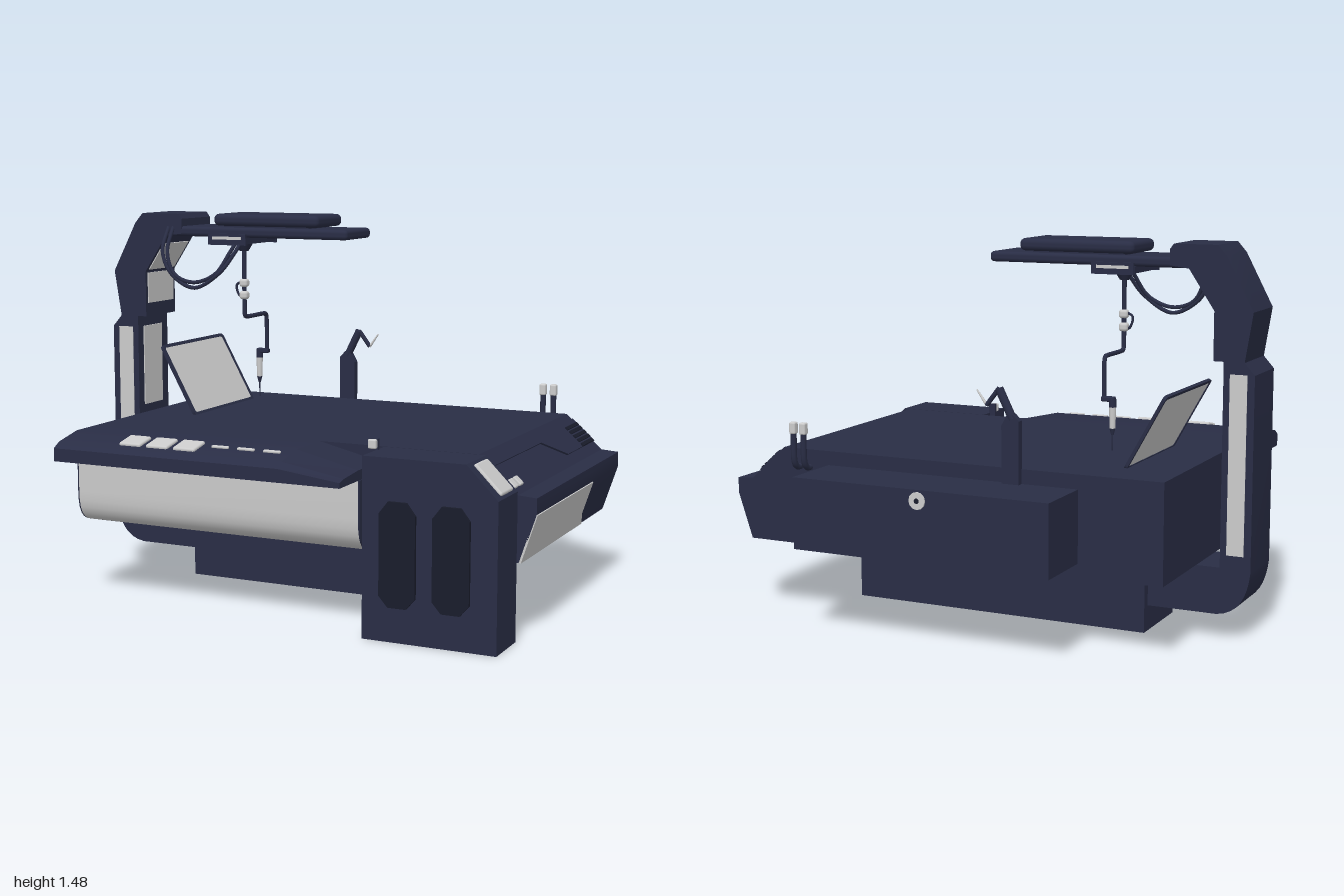
import * as THREE from 'three';
import { toCreasedNormals } from 'three/addons/utils/BufferGeometryUtils.js';
import { RoundedBoxGeometry } from 'three/addons/geometries/RoundedBoxGeometry.js';

const navy = new THREE.MeshStandardMaterial({ color: 0x292d45 });
const dark = new THREE.MeshStandardMaterial({ color: 0x191c2b });
const light = new THREE.MeshStandardMaterial({ color: 0xcccccc });
const V = (x, y, z) => new THREE.Vector3(x, y, z);

export function createModel() {
  const root = new THREE.Group();
  const add = (name, geo, mat = navy, parent = root) => {
    const m = new THREE.Mesh(geo, mat);
    m.name = name;
    parent.add(m);
    return m;
  };
  // Box given by its extents
  const box = (name, x0, x1, y0, y1, z0, z1, mat, r = 0) => {
    const s = [x1 - x0, y1 - y0, z1 - z0];
    const g = r ? new RoundedBoxGeometry(...s, 2, r) : new THREE.BoxGeometry(...s);
    const m = add(name, g, mat);
    m.position.set((x0 + x1) / 2, (y0 + y1) / 2, (z0 + z1) / 2);
    return m;
  };
  const toShape = pts => new THREE.Shape(pts.map(p => new THREE.Vector2(...p)));
  const extrude = (shape, depth) =>
    new THREE.ExtrudeGeometry(shape, { depth, bevelEnabled: false, curveSegments: 8 });
  // Front outline (x, y) carried from z0 to z1
  const alongZ = (name, shape, z0, z1, mat) =>
    add(name, toCreasedNormals(extrude(shape, z1 - z0).translate(0, 0, z0), 0.5), mat);
  // Side outline (-z, y) carried from x0 to x1
  const alongX = (shape, x0, x1) =>
    toCreasedNormals(extrude(shape, x1 - x0).rotateY(Math.PI / 2).translate(x0, 0, 0), 0.5);
  const tube = (name, pts, r, mat, tension = 0.5) =>
    add(name, new THREE.TubeGeometry(new THREE.CatmullRomCurve3(pts, false, 'catmullrom', tension), 48, r, 8), mat);
  // Straight round bar between two points
  const bar = (name, a, b, r, mat, r2 = r) => {
    const m = add(name, new THREE.CylinderGeometry(r2, r, a.distanceTo(b), 12), mat);
    m.position.copy(a).lerp(b, 0.5);
    m.quaternion.setFromUnitVectors(V(0, 1, 0), b.clone().sub(a).normalize());
    return m;
  };

  // Table body with sloping right end
  alongZ('tableBody', toShape([[-0.8, 0.29], [0.94, 0.29], [1, 0.47], [1, 0.53], [0.93, 0.535],
    [0.78, 0.67], [-0.8, 0.67]]), -0.545, 0.46);
  const tilt = Math.atan2(0.06, 0.18);
  const sidePanel = add('sidePanel', alongX(toShape([[-0.46, -0.095], [0.25, -0.095], [0.2, -0.04],
    [0.2, 0.095], [-0.46, 0.095]]), -0.004, 0.004), light);
  sidePanel.position.set(0.97, 0.38, 0);
  sidePanel.rotation.z = -tilt;
  // Raised strip and vent on the right slope
  const slope = new THREE.Group();
  slope.name = 'rightSlope';
  slope.position.set(0.855, 0.6025, 0);
  slope.rotation.z = -Math.atan2(0.135, 0.15);
  root.add(slope);
  const strip = toShape([[-0.07, -0.54], [0.055, -0.54], [0.055, -0.2], [-0.035, -0.07], [-0.035, 0.46], [-0.07, 0.46]]);
  add('slopeStrip', extrude(strip, 0.008).rotateX(Math.PI / 2).translate(0, 0.007, 0), navy, slope);
  for (let i = 0; i < 5; i++)
    add('ventSlat', new THREE.BoxGeometry(0.014, 0.008, 0.14), dark, slope).position.set(-0.04 + i * 0.022, 0.009, -0.455);
  for (const z of [0.38, 0.435])
    add('slopeButton', new RoundedBoxGeometry(0.04, 0.014, 0.035, 2, 0.005), light, slope).position.set(0.055, 0.006, z);

  // Front control deck, tapering down at its right end
  const deck = toShape([[-0.46, 0.575], [-0.46, 0.67], [-0.65, 0.67], [-0.77, 0.645], [-0.805, 0.625], [-0.805, 0.575]]);
  add('controlDeck', alongX(deck, -0.8, 0.15));
  const taper = alongX(deck, 0.15, 0.395);
  const p = taper.attributes.position;
  for (let i = 0; i < p.count; i++)
    if (p.getX(i) > 0.3) p.setY(i, 0.575 + (p.getY(i) - 0.575) * 0.4);
  taper.computeVertexNormals();
  add('deckTaper', taper);
  const deckTilt = Math.atan2(0.025, 0.12);
  for (let i = 0; i < 3; i++) {
    const b = box('deckButton', -0.543 + i * 0.116, -0.45 + i * 0.116, 0.65, 0.668, 0.667, 0.755, light, 0.008);
    b.rotation.x = deckTilt;
    const s = box('deckSlider', -0.175 + i * 0.107, -0.105 + i * 0.107, 0.658, 0.668, 0.69, 0.704, light, 0.004);
    s.rotation.x = deckTilt;
  }
  // Rounded front panel under the deck
  const skirt = new THREE.Shape();
  skirt.moveTo(-0.46, 0.575);
  skirt.lineTo(-0.65, 0.575);
  skirt.lineTo(-0.65, 0.43);
  skirt.bezierCurveTo(-0.65, 0.33, -0.61, 0.3, -0.5, 0.3);
  skirt.lineTo(-0.46, 0.3);
  add('frontPanel', alongX(skirt, -0.795, 0.395), light);
  for (const x of [-0.8, 0.395]) add('frontPanelEnd', alongX(skirt, x, x + 0.005));
  box('frontPanelFoot', -0.8, 0.4, 0.29, 0.302, 0.45, 0.51);

  // Pedestal and front leg
  box('pedestal', -0.595, 0.65, 0, 0.3, -0.195, 0.115);
  alongZ('frontLeg', toShape([[0.415, 0], [0.93, 0], [0.93, 0.55], [0.81, 0.67], [0.415, 0.67]]), 0.465, 0.66);
  for (const x of [0.555, 0.76]) {
    const w = 0.07, c = 0.035;
    alongZ('legPanel', toShape([[x - w + c, 0.13], [x + w - c, 0.13], [x + w, 0.17], [x + w, 0.47],
      [x + w - c, 0.515], [x - w + c, 0.515], [x - w, 0.47], [x - w, 0.17]]), 0.65, 0.672, dark);
  }
  const pad = add('legTouchpad', new RoundedBoxGeometry(0.145, 0.02, 0.12, 2, 0.009), light);
  pad.position.set(0.87, 0.61, 0.553);
  pad.rotation.z = -Math.PI / 4;
  // Small hook beside the leg
  box('hookPost', 0.39, 0.42, 0.58, 0.71, 0.52, 0.535);
  box('hookTip', 0.387, 0.42, 0.675, 0.71, 0.535, 0.555, light, 0.006);

  // Rear storage box with lock
  box('rearBox', -0.47, 0.58, 0.34, 0.615, -0.8, -0.54);
  bar('lock', V(0.05, 0.575, -0.795), V(0.05, 0.575, -0.806), 0.033, light);
  bar('lockSlot', V(0.05, 0.575, -0.8), V(0.05, 0.575, -0.808), 0.01, dark);

  // Side column with rounded foot and angled head
  const col = new THREE.Shape();
  col.moveTo(-0.595, 0.1);
  col.lineTo(-0.87, 0.1);
  col.bezierCurveTo(-0.96, 0.11, -0.99, 0.18, -1, 0.27);
  col.lineTo(-1, 1.01);
  col.lineTo(-0.96, 1.055);
  col.lineTo(-0.88, 1.055);
  col.lineTo(-0.88, 0.28);
  col.lineTo(-0.595, 0.28);
  alongZ('column', col, -0.16, 0.07);
  alongZ('columnHead', toShape([[-0.96, 1.055], [-0.99, 1.24], [-0.885, 1.44], [-0.85, 1.48], [-0.68, 1.48],
    [-0.665, 1.46], [-0.665, 1.4], [-0.74, 1.39], [-0.84, 1.24], [-0.84, 1.055]]), -0.16, 0.07);
  for (const z of [-0.162, 0.068]) box('columnSidePanel', -0.972, -0.905, 0.33, 1.01, z, z + 0.004, light);
  box('columnInnerPanel', -0.882, -0.876, 0.68, 1.01, -0.11, 0.03, light);
  box('headInnerPanel', -0.842, -0.836, 1.11, 1.235, -0.143, 0.055, light);
  const upper = add('headUpperPanel', new THREE.BoxGeometry(0.006, 0.13, 0.198), light);
  upper.position.set(-0.797, 1.303, -0.044);
  upper.rotation.z = -Math.atan2(0.1, 0.15);

  // Overhead lamp arm
  box('lampArm', -0.73, 0.075, 1.39, 1.43, -0.16, 0.07, navy, 0.015);
  box('lampCover', -0.52, -0.05, 1.435, 1.483, -0.16, 0.07, navy, 0.02);
  box('lampSpacer', -0.48, -0.1, 1.42, 1.445, -0.14, 0.05);
  box('toolMount', -0.53, -0.36, 1.365, 1.392, -0.165, 0.08);
  for (const z of [-0.175, 0.085]) {
    box('mountTab', -0.53, -0.36, 1.36, 1.405, z - 0.006, z + 0.006);
    box('mountTabLight', -0.51, -0.38, 1.382, 1.394, z - 0.008, z + 0.008, light);
  }
  bar('mountCone', V(-0.44, 1.33, -0.045), V(-0.44, 1.367, -0.045), 0.018, navy, 0.04);

  // Looping hoses
  for (const d of [0, 0.022])
    tube('hose', [V(-0.73 + d, 1.425, 0.065), V(-0.72 + d, 1.33, 0.13), V(-0.665 + d * 0.6, 1.24, 0.15),
      V(-0.56, 1.19 + d, 0.152), V(-0.45 - d * 0.6, 1.25, 0.15), V(-0.4 - d, 1.33, 0.11), V(-0.39 - d, 1.375, 0.07)], 0.008);

  // Hanging jointed tool
  bar('toolRod', V(-0.44, 1.36, -0.045), V(-0.44, 1.07, -0.045), 0.009);
  for (const y of [1.2, 1.15]) {
    box('toolJoint', -0.458, -0.422, y - 0.017, y + 0.017, -0.063, -0.027, light, 0.012);
  }
  tube('jointLoop', [V(-0.44, 1.21, -0.045), V(-0.475, 1.19, -0.045), V(-0.465, 1.15, -0.045), V(-0.44, 1.14, -0.045)], 0.005);
  tube('toolElbow', [V(-0.44, 1.1, -0.045), V(-0.44, 1.07, -0.047), V(-0.44, 1.06, -0.065), V(-0.44, 1.06, -0.21),
    V(-0.44, 1.055, -0.23), V(-0.44, 1.03, -0.237), V(-0.44, 0.9, -0.237)], 0.009, navy, 0.3);
  box('toolWrist', -0.485, -0.43, 0.89, 0.91, -0.249, -0.225, navy, 0.006);
  bar('toolGrip', V(-0.475, 0.9, -0.237), V(-0.475, 0.87, -0.237), 0.014);
  bar('toolBody', V(-0.475, 0.79, -0.237), V(-0.475, 0.88, -0.237), 0.011, light, 0.014);
  bar('toolNose', V(-0.475, 0.765, -0.237), V(-0.475, 0.79, -0.237), 0.005, navy, 0.011);
  bar('toolNeedle', V(-0.475, 0.705, -0.237), V(-0.475, 0.77, -0.237), 0.002, navy, 0.003);

  // Leaning screen
  const screen = new THREE.Group();
  screen.name = 'screen';
  screen.position.set(-0.655, 0.805, -0.1175);
  screen.rotation.z = Math.atan2(0.15, 0.27);
  root.add(screen);
  const rect = (w, h, r, S) => {
    const s = new S();
    s.moveTo(-w + r, -h);
    s.lineTo(w - r, -h).quadraticCurveTo(w, -h, w, -h + r);
    s.lineTo(w, h - r).quadraticCurveTo(w, h, w - r, h);
    s.lineTo(-w + r, h).quadraticCurveTo(-w, h, -w, h - r);
    s.lineTo(-w, -h + r).quadraticCurveTo(-w, -h, -w + r, -h);
    return s;
  };
  const frame = rect(0.25, 0.16, 0.02, THREE.Shape);
  frame.holes.push(rect(0.237, 0.147, 0.012, THREE.Path));
  add('screenFrame', extrude(frame, 0.012).rotateY(Math.PI / 2).translate(-0.006, 0, 0), navy, screen);
  add('screenGlass', new THREE.BoxGeometry(0.006, 0.296, 0.476), light, screen);

  // Rear bracket with folded arm
  alongZ('bracketPost', toShape([[-0.245, 0.6], [-0.175, 0.6], [-0.175, 0.83], [-0.2, 0.875], [-0.22, 0.875],
    [-0.245, 0.85]]), -0.57, -0.543);
  const joints = [V(-0.215, 0.855, -0.557), V(-0.16, 0.965, -0.557), V(-0.11, 0.9, -0.557), V(-0.07, 0.955, -0.557)];
  joints.slice(1).forEach((b, i) => bar('bracketArm', joints[i], b, [0.016, 0.009, 0.006][i], i < 2 ? navy : light, [0.016, 0.009, 0.003][i]));

  // Pair of rear handles
  for (const x of [0.663, 0.708]) {
    tube('handleStem', [V(x, 0.6, -0.54), V(x, 0.605, -0.57), V(x, 0.64, -0.588), V(x, 0.74, -0.588)], 0.012);
    box('handleTip', x - 0.014, x + 0.014, 0.735, 0.782, -0.602, -0.574, light, 0.007);
  }
  return root;
}
